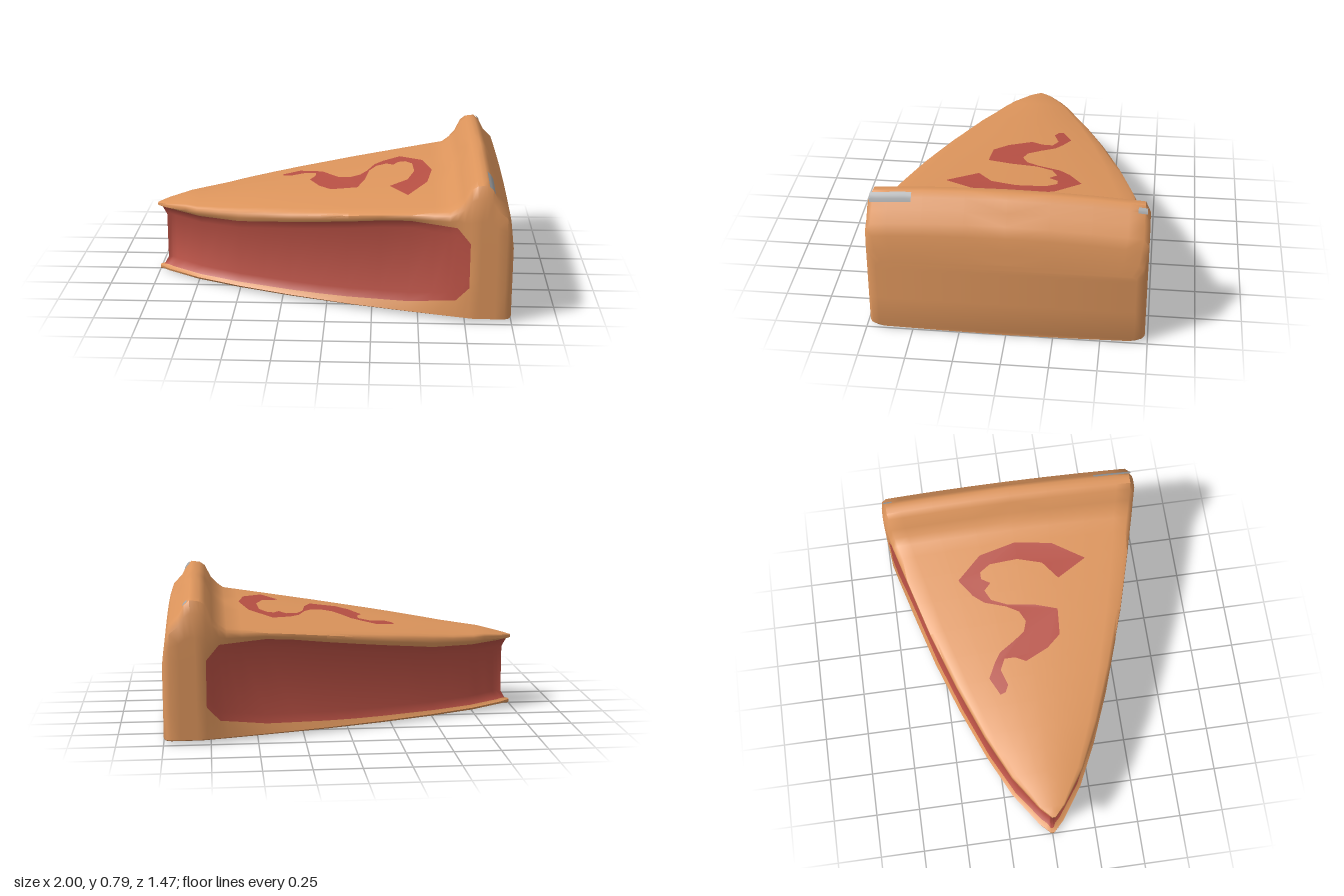
import * as THREE from 'three';
import { toCreasedNormals } from 'three/addons/utils/BufferGeometryUtils.js';

const clamp = THREE.MathUtils.clamp;
const mix = THREE.MathUtils.lerp;

// Piecewise-linear curve through [x, value] pairs
const curve = (pts) => (x) => {
  let i = 0;
  while (i < pts.length - 2 && x > pts[i + 1][0]) i++;
  const [x0, v0] = pts[i], [x1, v1] = pts[i + 1];
  return mix(v0, v1, clamp((x - x0) / (x1 - x0), 0, 1));
};

// Slice outline along x: half width, top height, filling top and bottom
const halfWidth = curve([[-1, 0.01], [-0.94, 0.07], [-0.75, 0.2], [-0.5, 0.32], [-0.2, 0.44],
  [0.12, 0.55], [0.42, 0.635], [0.7, 0.71], [0.8, 0.735], [0.97, 0.735], [0.99, 0.715], [1, 0.68]]);
const topHeight = curve([[-1, 0.415], [-0.82, 0.46], [-0.4, 0.515], [0, 0.56], [0.66, 0.635],
  [0.71, 0.67], [0.75, 0.72], [0.77, 0.77], [0.8, 0.79], [0.85, 0.797], [0.88, 0.77], [0.91, 0.71],
  [0.96, 0.66], [0.98, 0.6], [0.99, 0.52], [1, 0.45]]);
const fillTop = curve([[-1, 0.39], [-0.75, 0.395], [-0.5, 0.41], [0, 0.48], [0.3, 0.525], [0.45, 0.54],
  [0.7, 0.53], [0.77, 0.45], [0.96, 0.45], [1, 0.38]]);
const fillBottom = curve([[-1, 0.035], [0, 0.055], [0.45, 0.078], [0.7, 0.12], [0.77, 0.2], [1, 0.2]]);

// Gently crowned upper surface; t runs from the middle (0) to the side (1)
const topAt = (x, t) => topHeight(x) - 0.03 * t * t * clamp((x + 1) / 0.3, 0.1, 1);

// Half cross-section from bottom middle to top middle
const FILL_FROM = 4, FILL_TO = 7;
function section(x) {
  const w = halfWidth(x), ft = fillTop(x), fb = fillBottom(x), edge = topAt(x, 0.96);
  const inset = 0.035 * clamp((0.8 - x) / 0.3, 0, 1);
  const shift = 0.05 * clamp((-0.5 - x) / 0.5, 0, 1);
  const fill = (amount, y) => [x + shift * amount, y, Math.max(0.008, w - inset * amount)];
  const bevel = Math.min(0.045, (ft - fb) / 4);
  return [
    [x, 0.003, 0], [x, 0.008, w * 0.5], [x, 0.015, w * 0.96], [x, 0.027, w],
    fill(0.5, fb), fill(1, fb + bevel), fill(1, ft - bevel), fill(0.5, ft),
    [x, mix(ft, edge, 0.4), w], [x, mix(ft, edge, 0.8), w * 0.997],
    ...[0.96, 0.85, 0.6, 0.3, 0].map((t) => [x, topAt(x, t), w * t]),
  ];
}

// Lofted slice with separate faces for pastry and filling
function sliceGeometry() {
  const stations = [-1, -0.97, -0.94, -0.88, -0.82, -0.75, -0.62, -0.5, -0.35, -0.2, -0.04, 0.12, 0.3, 0.45,
    0.58, 0.66, 0.7, 0.735, 0.77, 0.8, 0.825, 0.85, 0.88, 0.91, 0.96, 0.98, 0.99, 1];
  const rings = stations.map(section);
  const n = rings[0].length, last = stations.length - 1;
  const positions = [], faces = [[], []];
  for (const side of [1, -1]) for (const ring of rings) for (const [x, y, z] of ring) positions.push(x, y, z * side);
  const id = (i, j, left) => (left ? stations.length * n : 0) + i * n + j;
  const quad = (m, a, b, c, d) => faces[m].push(a, b, c, a, c, d);
  const isFill = (j) => j >= FILL_FROM && j < FILL_TO;
  for (let j = 0; j < n - 1; j++) {
    for (let i = 0; i < last; i++) {
      const m = isFill(j) && stations[i + 1] <= 0.77 ? 1 : 0;
      quad(m, id(i, j), id(i + 1, j), id(i + 1, j + 1), id(i, j + 1));
      quad(m, id(i, j, true), id(i, j + 1, true), id(i + 1, j + 1, true), id(i + 1, j, true));
    }
    // Rear wall and narrow tip
    quad(0, id(last, j), id(last, j, true), id(last, j + 1, true), id(last, j + 1));
    quad(isFill(j) ? 1 : 0, id(0, j), id(0, j + 1), id(0, j + 1, true), id(0, j, true));
  }
  const geometry = new THREE.BufferGeometry();
  geometry.setAttribute('position', new THREE.Float32BufferAttribute(positions, 3));
  geometry.setIndex([...faces[0], ...faces[1]]);
  geometry.addGroup(0, faces[0].length, 0);
  geometry.addGroup(faces[0].length, faces[1].length, 1);
  return toCreasedNormals(geometry, 1.0);
}

// Sauce outline as seen from above, [x, z]
const SAUCE = [[-0.29, -0.2], [-0.19, -0.25], [-0.11, -0.21], [-0.05, -0.17], [0, -0.09], [0.05, -0.02],
  [0.11, 0], [0.17, -0.03], [0.21, -0.1], [0.25, -0.22], [0.3, -0.28], [0.4, -0.35], [0.53, -0.21], [0.58, 0],
  [0.55, 0.21], [0.44, 0.39], [0.34, 0.22], [0.44, 0.14], [0.48, 0], [0.47, -0.16], [0.43, -0.22],
  [0.39, -0.22], [0.36, -0.17], [0.32, -0.21], [0.26, -0.18], [0.22, -0.09], [0.2, 0.06], [0.16, 0.19],
  [0.01, 0.18], [-0.06, 0.1], [-0.12, -0.03], [-0.09, -0.09], [-0.09, -0.15], [-0.15, -0.18],
  [-0.24, -0.15], [-0.28, -0.17]];

// Lay a flat, upward-facing geometry onto the upper surface
function drape(geometry, lift) {
  const p = geometry.attributes.position;
  for (let i = 0; i < p.count; i++) {
    const x = p.getX(i);
    p.setY(i, topAt(x, Math.abs(p.getZ(i)) / halfWidth(x)) + lift);
  }
  geometry.computeVertexNormals();
  return geometry;
}

export function createModel() {
  const pastry = new THREE.MeshStandardMaterial({ name: 'pastry', color: 0xdd955c });
  const filling = new THREE.MeshStandardMaterial({ name: 'filling', color: 0xb85044 });
  const grey = new THREE.MeshStandardMaterial({ name: 'grey', color: 0xa2a4a6 });
  const model = new THREE.Group();
  model.name = 'pieSlice';
  const add = (name, geometry, material) => {
    const mesh = new THREE.Mesh(geometry, material);
    mesh.name = name;
    model.add(mesh);
  };

  add('slice', sliceGeometry(), [pastry, filling]);

  // Sauce swirl
  const outline = new THREE.Shape(SAUCE.map(([x, z]) => new THREE.Vector2(x, -z)));
  add('sauceSwirl', drape(new THREE.ShapeGeometry(outline).rotateX(-Math.PI / 2), 0.007), filling);

  // Grey patches on the rear slope of the crust ridge, near its ends
  const patch = (name, x0, x1, z0, z1) => {
    const plate = new THREE.PlaneGeometry(x1 - x0, z1 - z0, 4, 6).rotateX(-Math.PI / 2);
    add(name, drape(plate.translate((x0 + x1) / 2, 0, (z0 + z1) / 2), 0.006), grey);
  };
  patch('frontRidgePatch', 0.86, 0.892, 0.5, 0.718);
  patch('backRidgePatch', 0.865, 0.885, -0.718, -0.67);

  return model;
}
